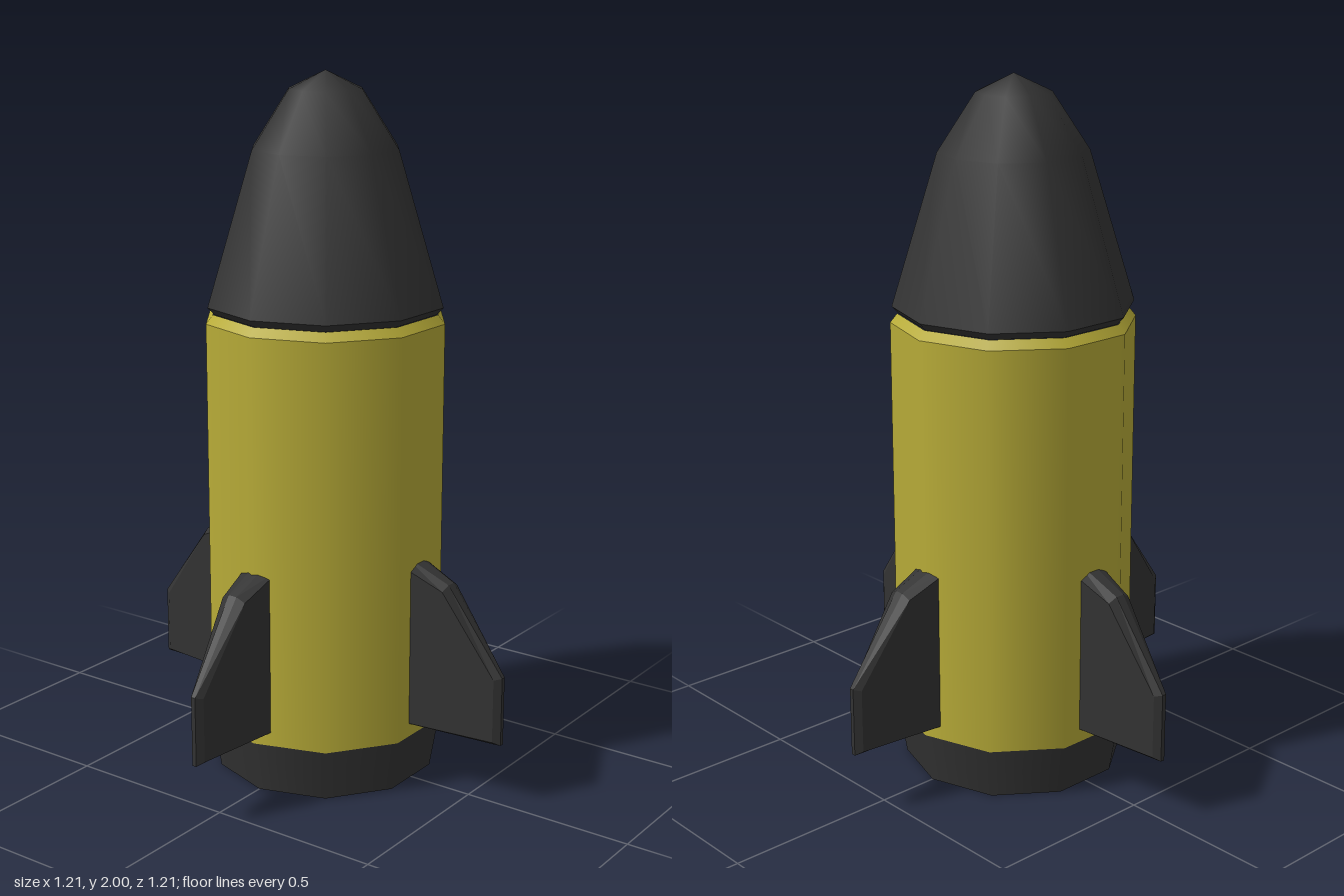
import * as THREE from 'three';

const SIDES = 10;

export function createModel() {
  const model = new THREE.Group();
  model.name = 'rocket';
  const yellow = new THREE.MeshStandardMaterial({ color: 0xb8ac38 });
  yellow.name = 'olive yellow';
  const dark = new THREE.MeshStandardMaterial({ color: 0x333333 });
  dark.name = 'charcoal';

  // Ten-sided ring surface, smooth around; separate rings meet in hard edges
  function ring(name, material, profile) {
    const points = profile.map(([r, y]) => new THREE.Vector2(r, y));
    const mesh = new THREE.Mesh(new THREE.LatheGeometry(points, SIDES), material);
    mesh.name = name;
    model.add(mesh);
  }

  // Engine skirt with a hollow underside
  ring('nozzleInside', dark, [[0, 0.32], [0.27, 0.3], [0.275, 0]]);
  ring('nozzleRim', dark, [[0.275, 0], [0.32, 0]]);
  ring('engineSkirt', dark, [[0.32, 0], [0.345, 0.15]]);

  // Body tube and its bevelled top
  ring('body', yellow, [[0.345, 0.15], [0.345, 1.32]]);
  ring('bodyBevel', yellow, [[0.345, 1.32], [0.325, 1.345]]);

  // Nose cone
  ring('noseUnderside', dark, [[0, 1.344], [0.325, 1.344]]);
  ring('noseBevel', dark, [[0.32, 1.344], [0.34, 1.365]]);
  ring('noseCone', dark, [[0.34, 1.365], [0.21, 1.79], [0.105, 1.95], [0, 2]]);

  // Four tapered fins with bevelled edges
  const finGeometry = makeFin();
  for (let i = 0; i < 4; i++) {
    const fin = new THREE.Mesh(finGeometry, dark);
    fin.name = 'fin' + (i + 1);
    fin.rotation.y = i * Math.PI / 2;
    model.add(fin);
  }
  return model;
}

// Fin pointing along +x: side face, two edge outlines, opposite side face
function makeFin() {
  const face = [[0.28, 0.19], [0.585, 0.19], [0.585, 0.375], [0.425, 0.603], [0.28, 0.665]];
  const edge = [[0.28, 0.18], [0.604, 0.18], [0.604, 0.38], [0.43, 0.617], [0.28, 0.68]];
  const layers = [[face, 1], [edge, 0.35], [edge, -0.35], [face, -1]];
  const positions = [];
  for (const [outline, side] of layers) {
    for (const [x, y] of outline) {
      const halfWidth = 0.049 - (x - 0.33) * 0.11;
      positions.push(x, y, side * halfWidth);
    }
  }
  const n = face.length;
  const index = [];
  for (let l = 0; l < 3; l++) {
    for (let i = 0; i < n; i++) {
      const j = (i + 1) % n;
      const a = l * n + i, b = a + n, c = (l + 1) * n + j, d = l * n + j;
      index.push(a, b, c, a, c, d);
    }
  }
  for (let i = 1; i < n - 1; i++) {
    index.push(0, i, i + 1, 3 * n, 3 * n + i + 1, 3 * n + i);
  }
  const indexed = new THREE.BufferGeometry();
  indexed.setAttribute('position', new THREE.Float32BufferAttribute(positions, 3));
  indexed.setIndex(index);
  const flat = indexed.toNonIndexed();
  flat.computeVertexNormals();
  return flat;
}
